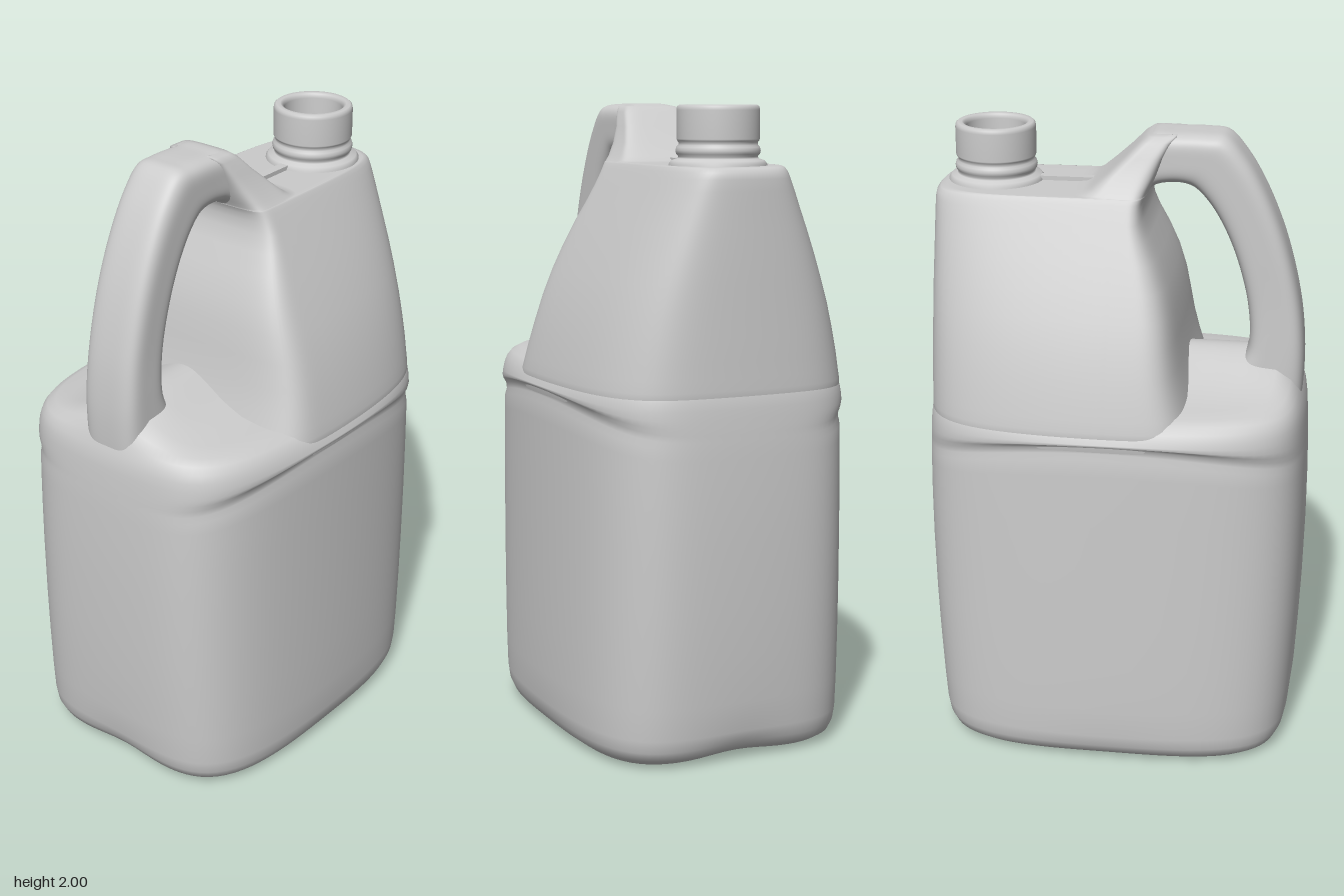
import * as THREE from 'three';

const material = new THREE.MeshStandardMaterial({ color: 0xcccccc, side: THREE.DoubleSide });
const SEG = 144;

const bell = (v, w) => Math.exp(-((v / w) ** 2));

// Skins a list of rings; point(row, u, v) maps a rounded unit square to [x, y, z]
function loft(name, rows, power, point) {
  const pos = [], idx = [];
  rows.forEach((row, i) => {
    for (let j = 0; j < SEG; j++) {
      const t = (j / SEG) * Math.PI * 2, c = Math.cos(t), s = Math.sin(t);
      const k = (Math.abs(c) ** power + Math.abs(s) ** power) ** (-1 / power);
      pos.push(...point(row, c * k, s * k));
      if (i === rows.length - 1) continue;
      const a = i * SEG + j, b = i * SEG + (j + 1) % SEG;
      idx.push(a, a + SEG, b, b, a + SEG, b + SEG);
    }
  });
  const g = new THREE.BufferGeometry();
  g.setAttribute('position', new THREE.Float32BufferAttribute(pos, 3));
  g.setIndex(idx);
  g.computeVertexNormals();
  return named(name, g);
}

function named(name, geometry) {
  const mesh = new THREE.Mesh(geometry, material);
  mesh.name = name;
  return mesh;
}

// Depth of the bulged front and back walls at x, for a half depth b
const bulge = (x, b) => b * (1 - 0.38 * b * (x / 0.6) ** 2);

// Main tank: rows are [y, half width, half depth, arch of the belt, saddle rise]
function lowerBody() {
  const rows = [
    [0.02, 0, 0], [0.02, 0.2, 0.15], [0.014, 0.4, 0.3], [0.002, 0.48, 0.365], [0.01, 0.525, 0.405],
    [0.03, 0.557, 0.432], [0.06, 0.572, 0.447], [0.1, 0.579, 0.453], [0.2, 0.586, 0.455],
    [0.35, 0.594, 0.455], [0.5, 0.6, 0.454], [0.7, 0.604, 0.452], [0.85, 0.604, 0.45],
    [0.96, 0.602, 0.448, 0.06], [0.995, 0.601, 0.446, 0.08], [1.015, 0.6, 0.438, 0.08],
    [1.035, 0.599, 0.441, 0.08], [1.055, 0.598, 0.452, 0.07], [1.08, 0.596, 0.457, 0.045],
    [1.11, 0.594, 0.455, 0.02], [1.14, 0.59, 0.45, 0.002], [1.165, 0.583, 0.439], [1.185, 0.57, 0.42, 0, 0.2],
    [1.198, 0.547, 0.39, 0, 0.5], [1.203, 0.5, 0.33, 0, 0.9], [1.205, 0.4, 0.25, 0, 1],
    [1.205, 0.3, 0.17, 0, 1], [1.205, 0.15, 0.08, 0, 1], [1.205, 0, 0, 0, 1],
  ];
  return loft('tank', rows, 6, ([y, a, b, arch = 0, rise = 0], u, v) => {
    const x = a * u * (1 - 0.05 * v * v), z = bulge(x, b) * v;
    const foot = Math.max(0, 1 - y / 0.13); // shallow channels between the four feet
    return [
      x * (1 - 0.035 * foot * bell(z, 0.15)),
      y + arch * (1 - (x / 0.6) ** 2) + 0.012 * foot * bell(z, 0.13) + 0.105 * rise * bell(z, 0.17),
      z * (1 - 0.02 * foot * bell(x, 0.2)),
    ];
  });
}

// Tapered upper body, ending in a sloping crest that meets the handle:
// rows are [y, left extent, right extent, half depth]
function upperBody() {
  const rows = [
    [1.1, 0.27, 0.58, 0.44], [1.14, 0.262, 0.588, 0.448], [1.165, 0.255, 0.589, 0.446], [1.2, 0.245, 0.588, 0.438],
    [1.25, 0.23, 0.588, 0.427], [1.32, 0.213, 0.587, 0.408], [1.4, 0.2, 0.586, 0.383], [1.48, 0.187, 0.585, 0.352],
    [1.56, 0.166, 0.584, 0.317], [1.64, 0.134, 0.582, 0.28], [1.7, 0.104, 0.581, 0.25], [1.75, 0.085, 0.58, 0.226],
    [1.785, 0.083, 0.579, 0.208], [1.805, 0.085, 0.575, 0.198], [1.817, 0.09, 0.563, 0.191], [1.821, 0.092, 0.545, 0.188],
    [1.821, 0.092, 0.52, 0.187], [1.822, 0.092, 0.14, 0.186], [1.826, 0.093, 0.11, 0.183], [1.84, 0.1, 0.083, 0.172],
    [1.88, 0.12, 0.035, 0.147], [1.93, 0.14, -0.018, 0.122], [1.975, 0.165, -0.062, 0.105], [1.992, 0.18, -0.085, 0.09],
    [1.997, 0.18, -0.105, 0.07], [1.998, 0.14, -0.14, 0],
  ];
  return loft('upperBody', rows, 6, ([y, l, r, b], u, v) => {
    const mid = Math.min(0, r - 0.05);
    const x = mid + (u < 0 ? l + mid : r - mid) * u * (1 - 0.05 * v * v);
    return [x, y, bulge(x, b) * v];
  });
}

// Handle: outer edge [x, y], inner edge [x, y], half width
function handle() {
  const stations = [
    [-0.57, 1.08, -0.38, 1.14, 0.1], [-0.58, 1.2, -0.37, 1.23, 0.104], [-0.58, 1.32, -0.405, 1.33, 0.103],
    [-0.563, 1.47, -0.4, 1.46, 0.1], [-0.515, 1.66, -0.362, 1.61, 0.1], [-0.45, 1.82, -0.315, 1.72, 0.1],
    [-0.385, 1.93, -0.27, 1.79, 0.1], [-0.325, 1.993, -0.23, 1.83, 0.1], [-0.27, 2, -0.2, 1.843, 0.1],
    [-0.17, 2, -0.15, 1.845, 0.1], [-0.1, 1.997, -0.1, 1.83, 0.102], [-0.05, 1.95, -0.06, 1.77, 0.105],
    [0, 1.89, 0, 1.72, 0.1],
  ];
  const edge = k => new THREE.CatmullRomCurve3(stations.map(q => new THREE.Vector3(q[k], q[k + 1], q[4])));
  const outer = edge(0), inner = edge(2), rows = [];
  for (let i = 0; i <= 70; i++) rows.push([outer.getPoint(i / 70), inner.getPoint(i / 70)]);
  return loft('handle', rows, 4, ([o, n], u, v) => {
    const k = (1 + u) / 2;
    return [n.x + (o.x - n.x) * k, n.y + (o.y - n.y) * k, -o.z * v];
  });
}

// Open neck with a base flange and retaining bead
function neck() {
  const profile = [
    [0.15, 1.8], [0.148, 1.826], [0.14, 1.836], [0.122, 1.842], [0.119, 1.848], [0.126, 1.856], [0.128, 1.866],
    [0.125, 1.876], [0.119, 1.882], [0.119, 1.89], [0.123, 1.895], [0.125, 1.9], [0.125, 1.985], [0.123, 1.995],
    [0.117, 2], [0.104, 2], [0.098, 1.997], [0.092, 1.985], [0.092, 1.83], [0.09, 1.826], [0, 1.826],
  ].map(([r, y]) => new THREE.Vector2(r, y));
  const mesh = named('neck', new THREE.LatheGeometry(profile, 64));
  mesh.position.set(0.4, 0, 0.018);
  return mesh;
}

export function createModel() {
  const group = new THREE.Group();
  group.name = 'jerrycan';
  // Small moulding rib between the handle and the neck
  const rib = named('seamRib', new THREE.BoxGeometry(0.2, 0.03, 0.03));
  rib.position.set(0.18, 1.82, 0.015);
  group.add(lowerBody(), upperBody(), handle(), neck(), rib);
  return group;
}
